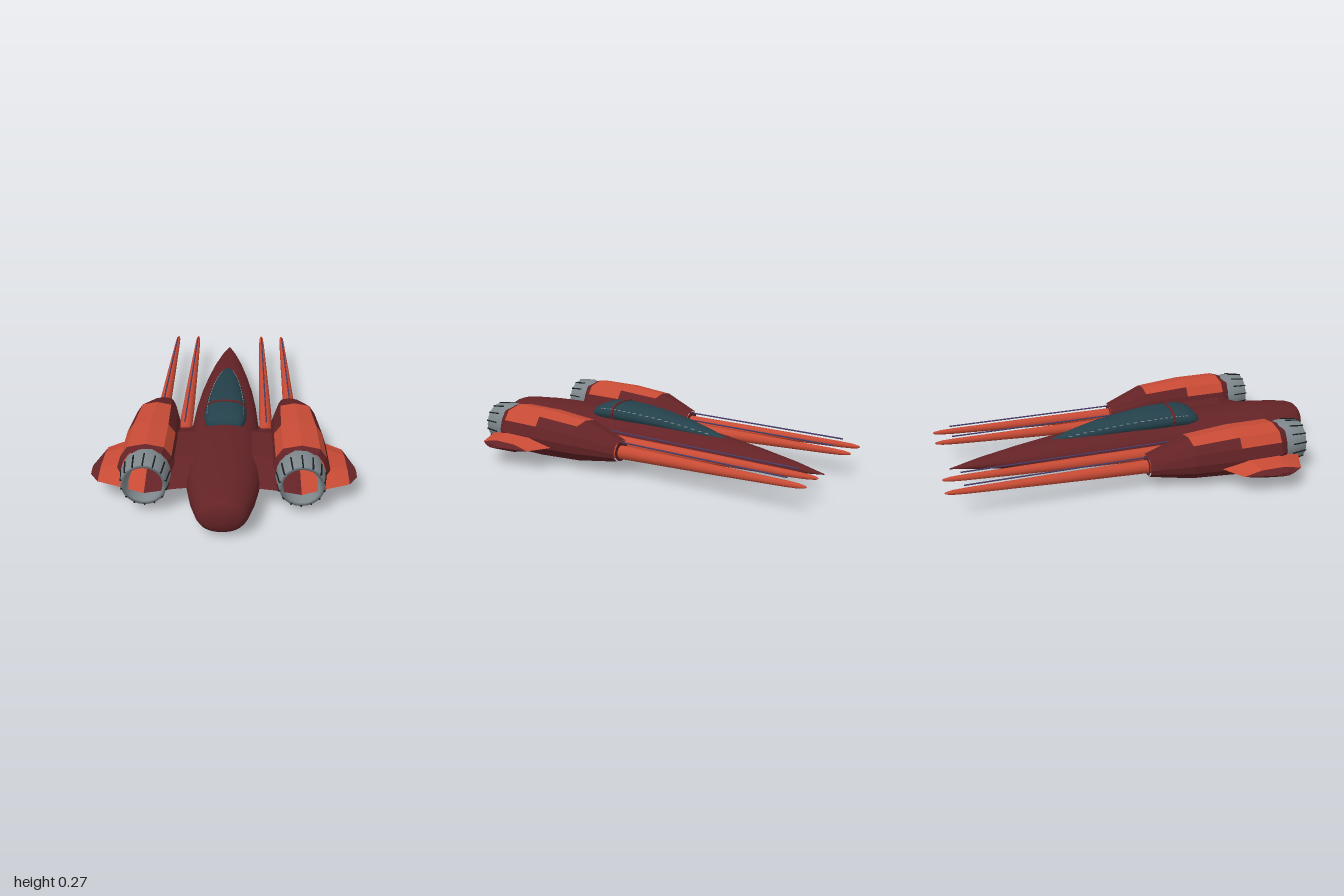
import * as THREE from 'three';

const paint = (name, color) => {
  const m = new THREE.MeshStandardMaterial({ color });
  m.name = name;
  return m;
};

// Skin a list of closed rings, optionally keeping only some quads
function loft(rings, { flat = false, keep = () => true, caps = true } = {}) {
  const n = rings[0].length, pos = rings.flat(2), index = [];
  for (let i = 0; i < rings.length - 1; i++) {
    for (let j = 0; j < n; j++) {
      if (!keep(i, j)) continue;
      const k = (j + 1) % n, a = i * n + j, b = i * n + k;
      index.push(a, b, b + n, a, b + n, a + n);
    }
  }
  if (caps) {
    const last = (rings.length - 1) * n;
    for (let j = 1; j < n - 1; j++) {
      index.push(0, j + 1, j, last, last + j, last + j + 1);
    }
  }
  let g = new THREE.BufferGeometry();
  g.setAttribute('position', new THREE.Float32BufferAttribute(pos, 3));
  g.setIndex(index);
  if (flat) g = g.toNonIndexed();
  g.computeVertexNormals();
  return g;
}

// Mirrored copy across x = 0 with corrected winding
function mirrored(geo) {
  const g = geo.clone();
  const p = g.attributes.position, nor = g.attributes.normal;
  for (let i = 0; i < p.count; i++) {
    p.setX(i, -p.getX(i));
    nor.setX(i, -nor.getX(i));
  }
  const idx = g.index ? Array.from(g.index.array) : Array.from({ length: p.count }, (_, i) => i);
  for (let i = 0; i < idx.length; i += 3) [idx[i + 1], idx[i + 2]] = [idx[i + 2], idx[i + 1]];
  g.setIndex(idx);
  return g;
}

export function createModel() {
  const ship = new THREE.Group();
  ship.name = 'starfighter';
  const hullRed = paint('dark red hull', 0x642326);
  const orange = paint('orange panels', 0xc84b35);
  const glass = paint('teal canopy', 0x24414b);
  const metal = paint('grey metal', 0x7d878c);
  const glow = paint('pink glow', 0xd08ac4);
  const violet = paint('violet rods', 0x4a3c68);
  const black = paint('black slots', 0x1a1b1e);
  metal.side = THREE.DoubleSide;

  const add = (name, geo, mat) => {
    const mesh = new THREE.Mesh(geo, mat);
    mesh.name = name;
    ship.add(mesh);
  };
  const pair = (name, geo, mat) => {
    add('left' + name, geo, mat);
    add('right' + name, mirrored(geo), mat);
  };

  // Fuselage: z, half width, bottom, top
  const hullStations = [
    [-0.95, 0.002, 0.088, 0.092], [-0.8, 0.04, 0.073, 0.122], [-0.6, 0.081, 0.054, 0.152],
    [-0.4, 0.113, 0.037, 0.178], [-0.2, 0.14, 0.02, 0.196], [0, 0.158, 0.009, 0.208],
    [0.2, 0.168, 0.004, 0.215], [0.4, 0.173, 0.004, 0.219], [0.6, 0.172, 0.008, 0.219],
    [0.75, 0.163, 0.014, 0.213], [0.87, 0.14, 0.021, 0.204], [0.95, 0.115, 0.028, 0.195],
    [0.98, 0.1, 0.038, 0.185], [0.995, 0.07, 0.06, 0.163], [1, 0.03, 0.09, 0.13],
  ];
  const power = (v, e) => Math.sign(v) * Math.abs(v) ** e;
  add('fuselage', loft(hullStations.map(([z, w, lo, hi]) =>
    Array.from({ length: 36 }, (_, j) => {
      const t = j / 36 * Math.PI * 2;
      return [w * power(Math.cos(t), 0.92), (lo + hi) / 2 + (hi - lo) / 2 * power(Math.sin(t), 0.92), z];
    }))), hullRed);

  // Canopy: z, half width, base, top
  const canopyStations = [
    [-0.42, 0.006, 0.165, 0.178], [-0.35, 0.032, 0.165, 0.198], [-0.2, 0.06, 0.175, 0.232],
    [-0.05, 0.08, 0.185, 0.256], [0.1, 0.096, 0.19, 0.27], [0.22, 0.104, 0.195, 0.273],
    [0.3, 0.104, 0.195, 0.264], [0.345, 0.094, 0.195, 0.246], [0.365, 0.075, 0.195, 0.224],
  ];
  const canopyShape = [[0.95, 0], [1, 0.42], [0.87, 0.7], [0.66, 0.92], [0.3, 1],
    [-0.3, 1], [-0.66, 0.92], [-0.87, 0.7], [-1, 0.42], [-0.95, 0]];
  const canopyRing = ([z, w, lo, hi], grow = 0) =>
    canopyShape.map(([x, y]) => [x * (w + grow), lo + y * (hi + grow - lo), z]);
  add('canopy', loft(canopyStations.map(s => canopyRing(s))), glass);
  add('canopyBand', loft([0.208, 0.222].map(z =>
    canopyRing([z, 0.104, 0.195, 0.273], 0.004)), { flat: true }), hullRed);

  // Small dashes along the canopy edges
  for (let i = 1; i < 6; i++) {
    const [z0, w0, lo0, hi0] = canopyStations[i], [z1, w1, lo1, hi1] = canopyStations[i + 1];
    for (let k = 0; k < 4; k++) {
      const t = (k + 0.5) / 4, mix = THREE.MathUtils.lerp;
      const lo = mix(lo0, lo1, t);
      const dash = new THREE.BoxGeometry(0.004, 0.004, (z1 - z0) / 8);
      dash.rotateY(Math.atan2((w1 - w0) * 0.87, z1 - z0));
      dash.translate(mix(w0, w1, t) * 0.87, lo + 0.7 * (mix(hi0, hi1, t) - lo), mix(z0, z1, t));
      pair('CanopyDash', dash, metal);
    }
  }

  // Wing: x, leading z, trailing z, bottom, top; runs on through the engine
  const wingStations = [
    [0.1, 0.2, 0.765, 0.055, 0.188], [0.22, 0.2, 0.785, 0.06, 0.183],
    [0.345, 0.25, 0.81, 0.065, 0.165], [0.47, 0.33, 0.753, 0.074, 0.15],
    [0.567, 0.4, 0.71, 0.088, 0.128], [0.607, 0.56, 0.65, 0.1, 0.118],
  ];
  const wingRings = wingStations.map(([x, a, b, lo, hi]) => {
    const m = (lo + hi) / 2, d = b - a;
    return [[x, m, a], [x, hi, a + d * 0.3], [x, hi, a + d * 0.7],
      [x, m, b], [x, lo, a + d * 0.7], [x, lo, a + d * 0.3]];
  });
  pair('WingRoot', loft(wingRings.slice(0, 3), { flat: true, caps: false }), hullRed);
  pair('Wing', loft(wingRings.slice(2, 5), { flat: true, caps: false }), orange);
  pair('WingTip', loft(wingRings.slice(4), { flat: true }), hullRed);

  // Engine pod: z, centre x, half width, centre y, half height
  const podStations = [
    [-0.02, 0.335, 0.064, 0.124, 0.053], [0.19, 0.348, 0.116, 0.147, 0.105],
    [0.43, 0.35, 0.134, 0.15, 0.121], [0.65, 0.35, 0.134, 0.15, 0.121],
    [0.69, 0.348, 0.115, 0.152, 0.107],
  ];
  const podShape = [[1, 0], [0.86, 0.48], [0.62, 0.86], [0, 1], [-0.62, 0.86], [-0.86, 0.48],
    [-1, 0], [-0.93, -0.42], [-0.58, -0.85], [0, -1], [0.58, -0.85], [0.93, -0.42]];
  const podRings = podStations.map(([z, cx, w, cy, h]) =>
    podShape.map(([x, y]) => [cx + x * w, cy + y * h, z]));
  const isOrange = (i, j) => (i === 1 && (j === 2 || j === 3)) || (i === 2 && j >= 1 && j <= 4);
  pair('EnginePod', loft(podRings, { flat: true, caps: false, keep: (i, j) => !isOrange(i, j) }), hullRed);
  pair('PodPanels', loft(podRings, { flat: true, caps: false, keep: isOrange }), orange);
  pair('PodFront', new THREE.CircleGeometry(0.052, 12).rotateY(Math.PI).translate(0.335, 0.124, -0.02), hullRed);

  // Hollow nozzle with a glowing disc inside and slots around it
  const nozzle = [[0.06, 0.63], [0.082, 0.72], [0.085, 0.805], [0.101, 0.805], [0.112, 0.72], [0.106, 0.67]]
    .map(([r, z]) => new THREE.Vector2(r, z));
  const nozzleGeo = new THREE.LatheGeometry(nozzle, 24).rotateX(Math.PI / 2);
  pair('Nozzle', nozzleGeo.translate(0.345, 0.155, 0), metal);
  pair('EngineGlow', new THREE.CircleGeometry(0.066, 24).translate(0.345, 0.155, 0.635), glow);
  for (let i = 0; i < 14; i++) {
    const slot = new THREE.BoxGeometry(0.006, 0.008, 0.08);
    slot.rotateX(0.129).translate(0, 0.105, 0.768);
    slot.rotateZ(i / 14 * Math.PI * 2).translate(0.345, 0.155, 0);
    pair('NozzleSlot', slot, black);
  }

  // Long tapered cannons with a thin rod above each
  for (const [x, back] of [[0.335, 0], [0.205, 0.24]]) {
    const cannon = [[-1, 0.001], [-0.992, 0.006], [-0.96, 0.011], [-0.9, 0.014], [-0.5, 0.023], [0, 0.032], [back + 0.01, 0.033]];
    pair('Cannon', loft(cannon.map(([z, r]) =>
      Array.from({ length: 14 }, (_, j) => {
        const t = j / 14 * Math.PI * 2;
        return [x + r * Math.cos(t), 0.118 - 0.025 * Math.min(z, 0) + r * 1.1 * Math.sin(t), z];
      }))), orange);
    const rod = new THREE.CylinderGeometry(0.004, 0.004, 0.91 + back, 6);
    pair('CannonRod', rod.rotateX(Math.PI / 2).translate(x, 0.17, (back - 0.91) / 2), violet);
  }
  return ship;
}
